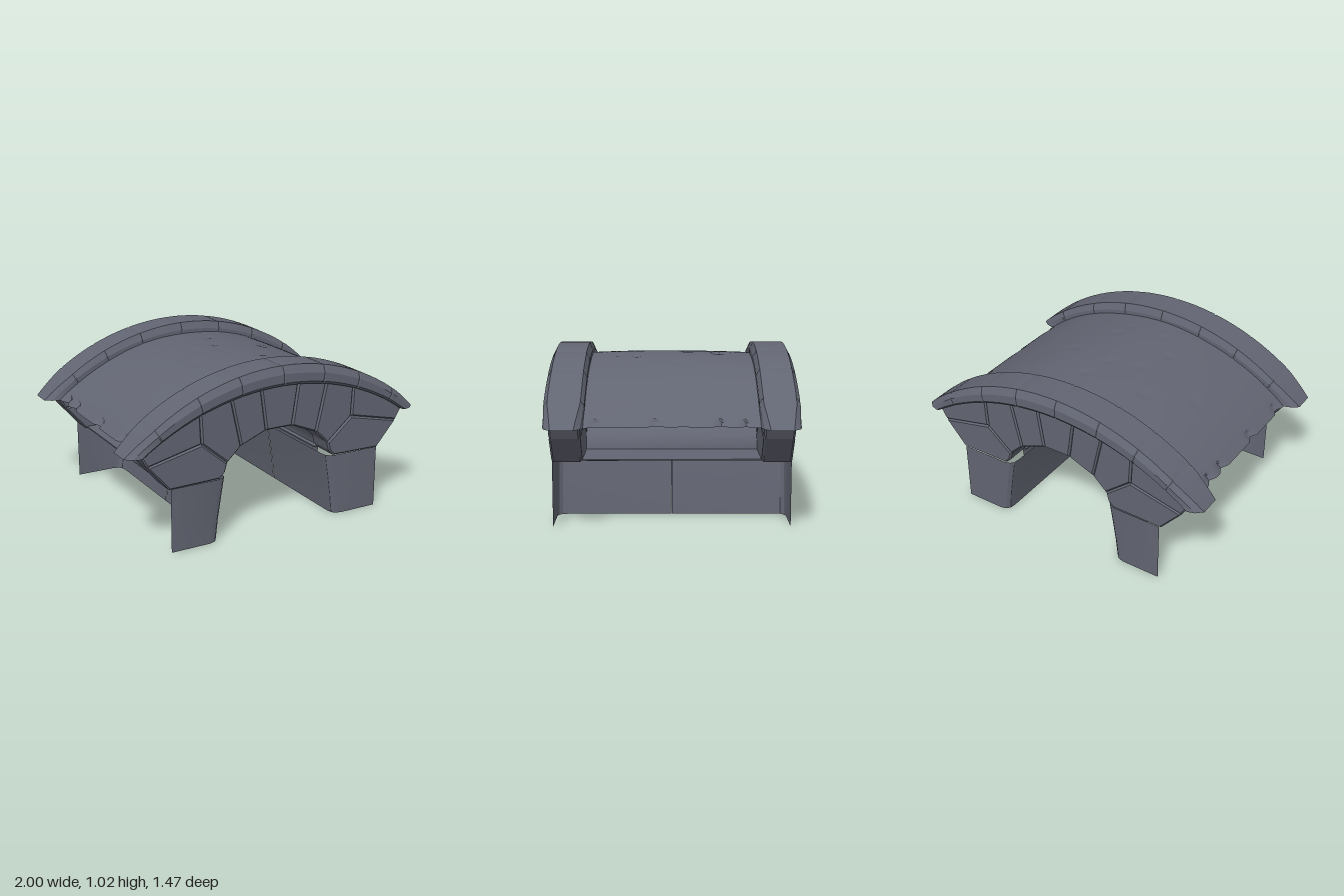
import * as THREE from 'three';
import { toCreasedNormals } from 'three/addons/utils/BufferGeometryUtils.js';

const stone = new THREE.MeshStandardMaterial({ color: 0x626572, side: THREE.DoubleSide });
stone.name = 'slate stone';

// Height of a shallow circular arc with the given crown and radius
const arc = (x, crown, r) => crown - r + Math.sqrt(r * r - x * x);
const topArc = x => arc(x, 1.025, 1.437);
const lowArc = x => arc(x, 0.905, 1.56);
const deckArc = x => arc(x, 0.968, 1.373);

function add(parent, name, geometry, crease = 0.5) {
  const mesh = new THREE.Mesh(toCreasedNormals(geometry, crease), stone);
  mesh.name = name;
  parent.add(mesh);
  return mesh;
}

// Skin a list of equal-length cross-sections; closed ones get end caps
function loft(rows, closed) {
  const n = rows[0].length, index = [];
  for (let i = 0; i < rows.length - 1; i++) {
    for (let j = 0; j < (closed ? n : n - 1); j++) {
      const a = i * n + j, b = i * n + (j + 1) % n;
      index.push(a, b, a + n, b, b + n, a + n);
    }
  }
  if (closed) {
    const e = (rows.length - 1) * n;
    for (let j = 1; j < n - 1; j++) index.push(0, j + 1, j, e, e + j, e + j + 1);
  }
  const g = new THREE.BufferGeometry();
  g.setAttribute('position', new THREE.Float32BufferAttribute(rows.flat(2), 3));
  g.setIndex(index);
  g.computeVertexNormals();
  return g;
}

// Cross-section of the parapet: z and height fraction
const PROFILE = [[0.722, 0], [0.735, 0.15], [0.735, 0.6], [0.71, 1], [0.52, 1], [0.5, 0.6], [0.5, 0.12], [0.512, 0]];

function parapetSection(t, shrink) {
  const a = Math.abs(t);
  const bx = t * (a > 0.82 ? 0.95 - 0.05 * (a - 0.82) / 0.18 : 0.95);
  const by = a > 0.999 ? 0.62 : lowArc(bx), ty = topArc(t);
  const narrow = 0.03 * Math.max(0, (a - 0.84) / 0.16);
  return PROFILE.map(([z, s]) => {
    const side = z > 0.6 ? -1 : 1;
    const f = 0.5 + (s - 0.5) * shrink;
    return [bx + (t - bx) * f, by + (ty - by) * f, 0.6175 + (z - 0.6175) * shrink + side * narrow * s];
  });
}

function parapet(joints) {
  const group = new THREE.Group();
  for (let i = 0; i < joints.length - 1; i++) {
    const a = joints[i], b = joints[i + 1], rows = [];
    const ts = [a, a + 0.008];
    for (let k = 1; k < 4; k++) ts.push(a + (b - a) * k / 4);
    ts.push(b - 0.008, b);
    ts.forEach((t, k) => {
      const atJoint = (k === 0 || k === ts.length - 1) && Math.abs(t) < 0.99;
      rows.push(parapetSection(t, atJoint ? 0.96 : 1));
    });
    add(group, 'parapetStone', loft(rows, true), 0.35);
  }
  return group;
}

// Points along the underside of the parapet
const under = (a, b, n = 4) => Array.from({ length: n + 1 }, (_, i) => {
  const x = a + (b - a) * i / n;
  return [x, lowArc(x) + 0.012];
});

function archStone(parent, name, points) {
  const shape = new THREE.Shape(points.map(p => new THREE.Vector2(...p)));
  const g = new THREE.ExtrudeGeometry(shape, {
    depth: 0.156, bevelEnabled: true, bevelThickness: 0.012, bevelSize: 0.01, bevelOffset: -0.01, bevelSegments: 1,
  });
  g.translate(0, 0, 0.534);
  return add(parent, name, g, 0.4);
}

// Arch face made of wedge stones
function archFace() {
  const group = new THREE.Group();
  archStone(group, 'keystone', [[-0.09, 0.64], [0.09, 0.64], ...under(0.13, -0.13)]);
  for (const s of [1, -1]) {
    const half = new THREE.Group();
    half.scale.x = s;
    half.name = s > 0 ? 'leftArchHalf' : 'rightArchHalf';
    archStone(half, 'upperArchStone', [[0.09, 0.64], [0.26, 0.572], ...under(0.33, 0.13)]);
    archStone(half, 'middleArchStone', [[0.26, 0.572], [0.35, 0.485], [0.52, 0.63], ...under(0.53, 0.33)]);
    archStone(half, 'springStone', [[0.35, 0.485], [0.365, 0.43], [0.4, 0.395], [0.73, 0.39], [0.865, 0.55], [0.52, 0.63]]);
    archStone(half, 'shoulderStone', [[0.52, 0.63], [0.865, 0.55], [0.905, 0.617], ...under(0.88, 0.53)]);
    group.add(half);
  }
  return group;
}

// Worn deck surface with shallow chips and nicked side edges
function deck() {
  const g = new THREE.PlaneGeometry(1.82, 1.04, 72, 52);
  g.rotateX(-Math.PI / 2);
  const chips = [[-0.57, -0.06], [-0.32, -0.25], [-0.16, -0.05], [0.01, -0.1], [0.07, -0.29], [-0.25, 0.17],
    [-0.11, 0.33], [0.13, 0.34], [0.33, -0.05], [0.17, 0.22]];
  const nicks = [-0.28, 0.09, 0.43, -0.42];
  const p = g.attributes.position;
  for (let i = 0; i < p.count; i++) {
    let x = p.getX(i);
    const z = p.getZ(i);
    let y = deckArc(x) - 0.015 * (z / 0.52) ** 2 * (1 - x * x) + 0.002 * Math.sin(9 * x + 4 * z);
    for (const [cx, cz] of chips) y -= 0.008 * Math.max(0, 1 - Math.hypot(x - cx, z - cz) / 0.04);
    if (Math.abs(x) > 0.88) {
      for (const n of nicks) x -= Math.sign(x) * 0.025 * Math.max(0, 1 - Math.abs(z - n) / 0.05);
    }
    p.setXYZ(i, x, y, z);
  }
  return g;
}

// Hollow pier: end plate, rounded corner and inner wall, open on the outer side
function pierHalf() {
  const rows = [[0, 0.41], [0.13, 0.395], [0.27, 0.373], [0.395, 0.352]].map(([y, x]) => [
    [0.722, y, 0.7], [x + 0.06, y, 0.7], [x + 0.025, y, 0.69], [x + 0.006, y, 0.67], [x, y, 0.63], [x, y, 0.002],
  ]);
  return loft(rows, false);
}

export function createModel() {
  const model = new THREE.Group();
  model.name = 'stoneBridge';

  // Parapets and arch faces, front and back
  const joints = [-1, -0.82, -0.55, -0.28, 0.01, 0.3, 0.56, 0.82, 1];
  for (const s of [1, -1]) {
    const end = s > 0 ? 'front' : 'back';
    const rail = parapet(s > 0 ? joints : [-1, -0.81, -0.58, -0.32, -0.02, 0.27, 0.54, 0.8, 1]);
    const face = archFace();
    rail.name = end + 'Parapet';
    face.name = end + 'Arch';
    rail.scale.z = face.scale.z = s;
    model.add(rail, face);
  }

  add(model, 'deck', deck(), 0.6);

  // Vault lining between the two arch faces
  const half = [[0.395, 0.33], [0.405, 0.41], [0.375, 0.485], [0.28, 0.58], [0.19, 0.625], [0.1, 0.655]];
  const curve = [...half.map(([x, y]) => [-x, y]), ...half.slice().reverse()];
  add(model, 'vault', loft([0.525, -0.525].map(z => curve.map(([x, y]) => [x, y, z])), false), 0.7);

  // Piers and the ledges above them
  for (const sx of [1, -1]) {
    for (const sz of [1, -1]) add(model, 'pier', pierHalf(), 0.5).scale.set(sx, 1, sz);
    const ledge = new THREE.BoxGeometry(0.35, 0.008, 1.05);
    ledge.translate(sx * 0.547, 0.4, 0);
    add(model, 'ledge', ledge);
  }
  return model;
}
